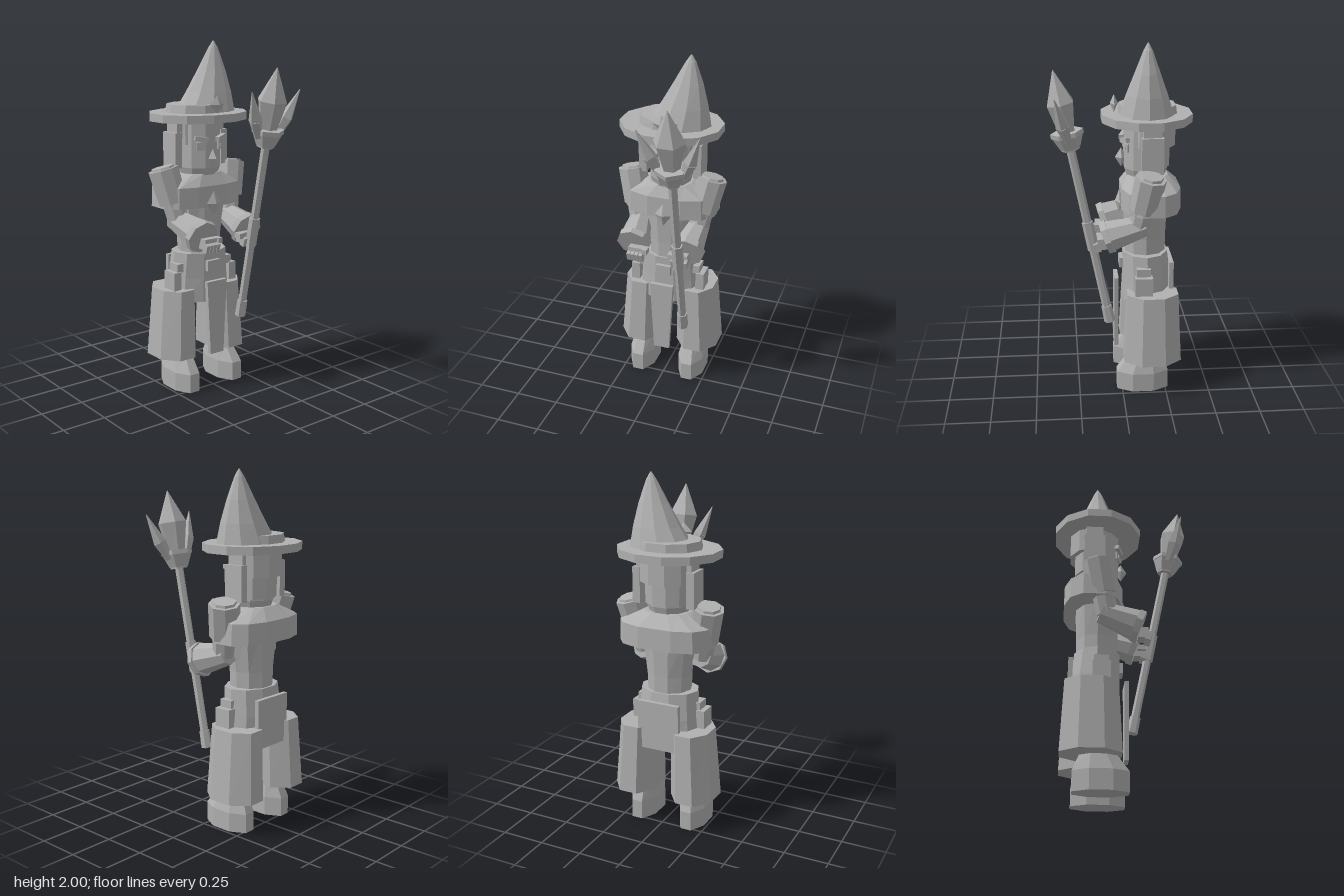
import * as THREE from 'three';

const grey = new THREE.MeshStandardMaterial({ color: 0xb0b0b0 });
grey.name = 'plain grey';
const V = (x, y, z) => new THREE.Vector3(x, y, z);

// Faceted mesh with hard edges everywhere
function part(parent, name, geo, x = 0, y = 0, z = 0) {
  const flat = geo.index ? geo.toNonIndexed() : geo;
  flat.computeVertexNormals();
  const mesh = new THREE.Mesh(flat, grey);
  mesh.name = name;
  mesh.position.set(x, y, z);
  parent.add(mesh);
  return mesh;
}

// Solid through rings [y, centreX, centreZ, radiusX, radiusZ], listed bottom to top
function loft(rings, n, phase = 0.5, power = 1) {
  const pos = [];
  const bend = (v) => Math.sign(v) * Math.pow(Math.abs(v), power);
  const at = ([y, cx, cz, rx, rz], j) => {
    const a = ((j + phase) / n) * Math.PI * 2;
    return [cx + rx * bend(Math.sin(a)), y, cz + rz * bend(Math.cos(a))];
  };
  const last = rings[rings.length - 1], first = rings[0];
  for (let j = 0; j < n; j++) {
    for (let i = 0; i < rings.length - 1; i++) {
      const a = at(rings[i], j), b = at(rings[i], j + 1);
      const c = at(rings[i + 1], j + 1), d = at(rings[i + 1], j);
      pos.push(...a, ...b, ...c, ...a, ...c, ...d);
    }
    pos.push(first[1], first[0], first[2], ...at(first, j + 1), ...at(first, j));
    pos.push(last[1], last[0], last[2], ...at(last, j), ...at(last, j + 1));
  }
  const geo = new THREE.BufferGeometry();
  geo.setAttribute('position', new THREE.Float32BufferAttribute(pos, 3));
  return geo;
}

// Tapered prism from one point to another
function limb(parent, name, a, b, ra, rb, n = 8) {
  const dir = b.clone().sub(a);
  const mid = a.clone().add(b).multiplyScalar(0.5);
  const mesh = part(parent, name, new THREE.CylinderGeometry(rb, ra, dir.length(), n), mid.x, mid.y, mid.z);
  mesh.quaternion.setFromUnitVectors(V(0, 1, 0), dir.normalize());
  return mesh;
}

const box = (parent, name, w, h, d, x, y, z) => part(parent, name, new THREE.BoxGeometry(w, h, d), x, y, z);

function gem(parent, name, rx, ry, rz, x, y, z) {
  return part(parent, name, new THREE.OctahedronGeometry(1).scale(rx, ry, rz), x, y, z);
}

function buildHat(root) {
  const hat = new THREE.Group();
  hat.name = 'hat';
  part(hat, 'brim', loft([[1.565, 0, -0.143, 0.295, 0.256], [1.61, 0, -0.143, 0.295, 0.256]], 12));
  part(hat, 'band', loft([[1.6, 0, -0.148, 0.195, 0.167], [1.655, 0, -0.148, 0.182, 0.16]], 10));
  part(hat, 'crown', loft([
    [1.6, 0.045, -0.14, 0.185, 0.155],
    [1.72, 0.075, -0.14, 0.135, 0.115],
    [1.84, 0.095, -0.14, 0.085, 0.07],
    [1.96, 0.107, -0.14, 0.03, 0.025],
    [2.0, 0.109, -0.14, 0.004, 0.004],
  ], 10));
  gem(hat, 'hatGem', 0.05, 0.05, 0.022, 0, 1.66, 0.035);
  root.add(hat);
}

function buildHead(root) {
  const head = new THREE.Group();
  head.name = 'head';
  part(head, 'skull', loft([
    [1.17, 0, -0.14, 0.08, 0.08], [1.25, 0, -0.14, 0.085, 0.085],
    [1.255, 0, -0.14, 0.11, 0.11], [1.3, 0, -0.14, 0.125, 0.125], [1.57, 0, -0.14, 0.125, 0.125],
  ], 10));
  part(head, 'upperHair', loft([[1.43, 0, -0.175, 0.15, 0.132], [1.57, 0, -0.175, 0.152, 0.132]], 10));
  part(head, 'backHair', loft([[1.31, 0, -0.17, 0.125, 0.105], [1.45, 0, -0.17, 0.13, 0.108]], 10));
  gem(head, 'nose', 0.03, 0.055, 0.035, 0, 1.355, -0.005);
  for (const s of [-1, 1]) {
    box(head, 'sideLock', 0.045, 0.2, 0.12, s * 0.162, 1.4, -0.165);
    box(head, 'lockRoot', 0.04, 0.1, 0.1, s * 0.145, 1.52, -0.165);
    const eye = box(head, 'eye', 0.05, 0.045, 0.009, s * 0.068, 1.425, -0.027);
    eye.rotation.y = s * 0.4;
    const pupil = box(head, 'pupil', 0.016, 0.02, 0.009, s * 0.068, 1.425, -0.021);
    pupil.rotation.y = s * 0.4;
    const brow = box(head, 'brow', 0.075, 0.026, 0.025, s * 0.068, 1.467, -0.02);
    brow.rotation.set(0, s * 0.4, s * 0.2);
  }
  root.add(head);
}

function buildBody(root) {
  const body = new THREE.Group();
  body.name = 'body';
  part(body, 'torso', loft([
    [0.78, 0, -0.14, 0.125, 0.12], [0.9, 0, -0.14, 0.13, 0.12], [1.15, 0, -0.14, 0.165, 0.13],
  ], 10));
  part(body, 'mantle', loft([
    [1.08, 0, -0.165, 0.275, 0.17], [1.2, 0, -0.165, 0.27, 0.168], [1.265, 0, -0.15, 0.13, 0.115],
  ], 12, 0.5, 0.75));
  part(body, 'skirt', loft([
    [0.52, 0, -0.15, 0.2, 0.145], [0.66, 0, -0.15, 0.185, 0.142], [0.81, 0, -0.14, 0.172, 0.132],
  ], 10));
  // Hanging panels, tapered in front and square behind
  const flap = new THREE.Shape([[-0.07, 0.65], [-0.047, 0.21], [0.047, 0.21], [0.07, 0.65]].map((p) => new THREE.Vector2(...p)));
  part(body, 'frontFlap', new THREE.ExtrudeGeometry(flap, { depth: 0.025, bevelEnabled: false }), 0, 0, 0.013);
  box(body, 'backFlap', 0.25, 0.28, 0.025, 0, 0.62, -0.285);
  box(body, 'buckle', 0.09, 0.06, 0.025, 0, 0.735, -0.005);
  gem(body, 'chestGem', 0.05, 0.07, 0.025, 0, 1.1, 0.005);
  for (const s of [-1, 1]) {
    box(body, 'pouch', 0.05, 0.13, 0.1, s * 0.2, 0.64, -0.12);
    box(body, 'pouchFlap', 0.04, 0.05, 0.08, s * 0.175, 0.725, -0.12);
  }
  root.add(body);
}

function buildLeg(root, s) {
  const leg = new THREE.Group();
  leg.name = s > 0 ? 'leftLeg' : 'rightLeg';
  part(leg, 'trouserLeg', loft([
    [0.195, s * 0.178, -0.172, 0.137, 0.177], [0.6, s * 0.162, -0.172, 0.118, 0.156],
  ], 8));
  part(leg, 'boot', loft([
    [0, s * 0.157, -0.118, 0.084, 0.16], [0.11, s * 0.157, -0.118, 0.084, 0.16],
    [0.2, s * 0.152, -0.132, 0.06, 0.105], [0.3, s * 0.152, -0.132, 0.055, 0.09],
  ], 8));
  root.add(leg);
}

function buildArm(root, s) {
  const arm = new THREE.Group();
  arm.name = s > 0 ? 'leftArm' : 'rightArm';
  const wx = s > 0 ? 0.172 : 0.148;
  const elbow = V(s * 0.178, 1.0, -0.09), wrist = V(s * wx, 0.945, 0.085);
  limb(arm, 'sleevePuff', V(s * 0.198, 1.11, -0.115), V(s * 0.238, 1.3, -0.15), 0.083, 0.088);
  limb(arm, 'sleeveRim', V(s * 0.237, 1.295, -0.149), V(s * 0.24, 1.312, -0.152), 0.07, 0.065);
  limb(arm, 'upperArm', elbow, V(s * 0.205, 1.14, -0.12), 0.06, 0.065);
  limb(arm, 'forearm', V(s * 0.18, 1.01, -0.13), wrist, 0.06, 0.092);
  limb(arm, 'cuff', V(s * wx, 0.95, 0.068), V(s * wx, 0.938, 0.1), 0.1, 0.098);
  // Fist with four fingers and a thumb
  const hx = s > 0 ? 0.145 : -0.12;
  box(arm, 'palm', 0.085, 0.06, 0.06, hx, 0.905, 0.11);
  for (let i = 0; i < 4; i++) {
    const finger = box(arm, 'finger', 0.021, 0.05, 0.035, hx + (i - 1.5) * 0.024, 0.885, 0.14);
    finger.rotation.x = 0.3;
  }
  box(arm, 'thumb', 0.03, 0.03, 0.05, hx - s * 0.055, 0.92, 0.125);
  root.add(arm);
}

function buildStaff(root) {
  const staff = new THREE.Group();
  staff.name = 'staff';
  staff.position.set(0.147, 0.42, 0.07);
  staff.rotation.x = 0.2;
  const rod = (name, y0, y1, r0, r1, n = 6) => limb(staff, name, V(0, y0, 0), V(0, y1, 0), r0, r1, n);
  rod('shaft', 0.02, 1.08, 0.024, 0.024);
  rod('footCap', 0, 0.1, 0.032, 0.03);
  rod('grip', 0.45, 0.62, 0.032, 0.032);
  rod('collar', 1.04, 1.12, 0.05, 0.06);
  rod('cup', 1.12, 1.145, 0.09, 0.09);
  rod('cupBase', 1.05, 1.12, 0.055, 0.085);
  part(staff, 'headGem', loft([
    [1.1, 0, 0, 0.04, 0.04], [1.3, 0, 0, 0.087, 0.08], [1.48, 0, 0, 0.002, 0.002],
  ], 6));
  // Curved side claws
  for (const s of [-1, 1]) {
    limb(staff, 'clawBase', V(s * 0.065, 1.1, 0), V(s * 0.11, 1.2, 0.01), 0.022, 0.038, 5);
    limb(staff, 'clawTip', V(s * 0.11, 1.2, 0.01), V(s * 0.17, 1.36, 0.02), 0.038, 0.002, 5);
  }
  root.add(staff);
}

export function createModel() {
  const root = new THREE.Group();
  root.name = 'hattedFigure';
  buildHat(root);
  buildHead(root);
  buildBody(root);
  for (const s of [-1, 1]) {
    buildLeg(root, s);
    buildArm(root, s);
  }
  buildStaff(root);
  return root;
}
